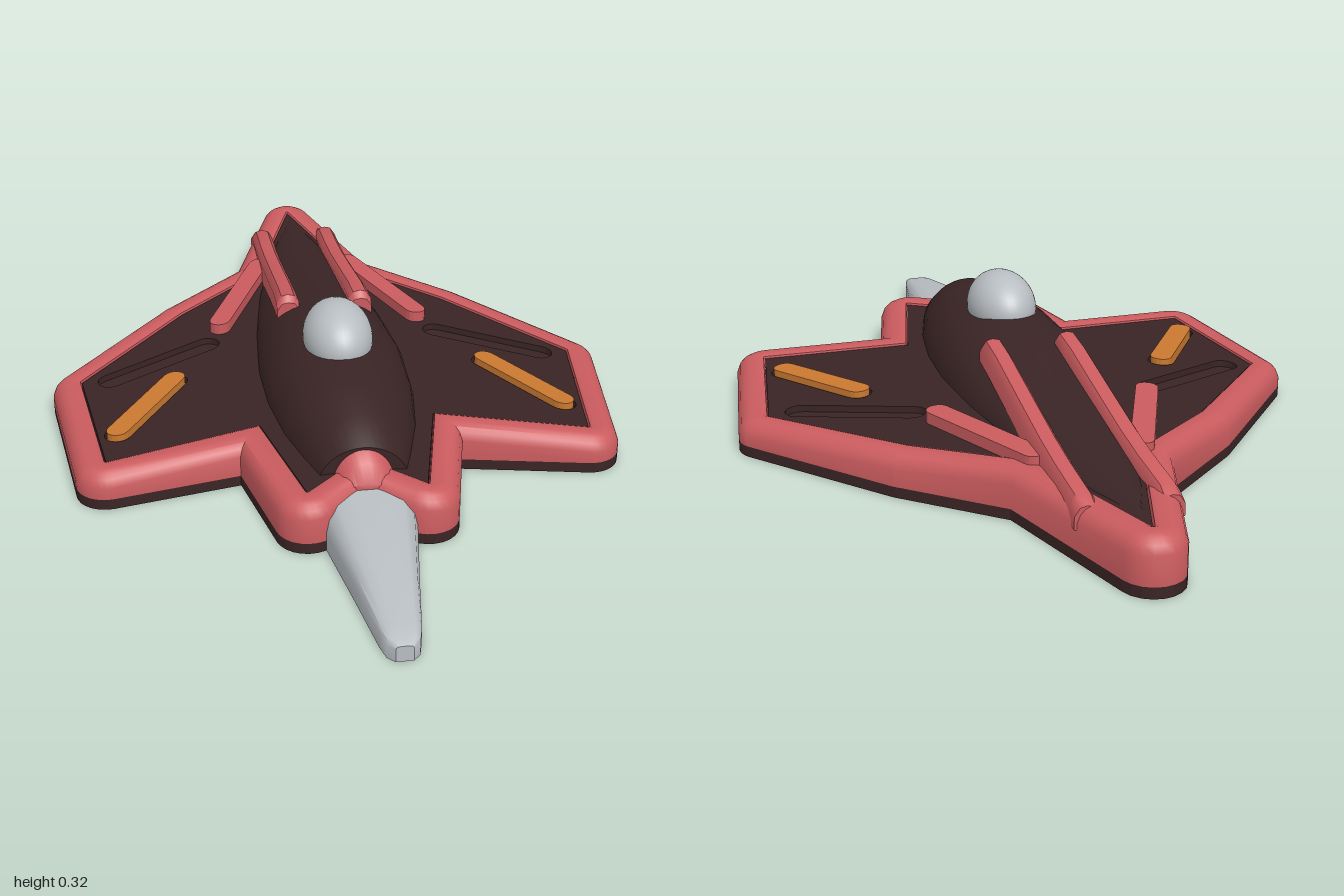
import * as THREE from 'three';
import { toCreasedNormals } from 'three/addons/utils/BufferGeometryUtils.js';

const mat = (name, color) => {
  const m = new THREE.MeshStandardMaterial({ color });
  m.name = name;
  return m;
};

// height of the upper wing surface, falling toward the tips
const wingTop = (x) => 0.125 - 0.07 * Math.abs(x);

// inner edge of the rim, left half, as [x, -z] from nose notch to tail
const HALF = [[0, -0.44], [0.13, -0.55], [0.2, -0.25], [0.55, -0.32],
  [0.6, 0.06], [0.34, 0.36], [0.12, 0.55], [0, 0.93]];
const EDGE = [...HALF, ...HALF.slice(1, -1).reverse().map(([x, v]) => [-x, v])];

// grow the edge by e: round outer corners, mitred inner ones
function grow(e) {
  const out = [], n = EDGE.length;
  const normal = (a, b) => new THREE.Vector2(b[1] - a[1], a[0] - b[0]).normalize();
  EDGE.forEach((p, i) => {
    const n1 = normal(EDGE[(i + n - 1) % n], p), n2 = normal(p, EDGE[(i + 1) % n]);
    const turn = Math.atan2(n1.cross(n2), n1.dot(n2));
    if (turn > 0) {
      for (let k = 0; k <= 8; k++) {
        const a = n1.angle() + turn * k / 8;
        out.push(new THREE.Vector2(p[0] + e * Math.cos(a), p[1] + e * Math.sin(a)));
      }
    } else {
      const s = e / (1 + n1.dot(n2));
      out.push(new THREE.Vector2(p[0] + s * (n1.x + n2.x), p[1] + s * (n1.y + n2.y)));
    }
  });
  return out;
}

// skin over matching rings of [x, y, z], counter-clockwise seen from the first ring's side
function loft(rings, caps = true, crease = 0.7) {
  const pos = [], n = rings[0].length;
  const tri = (...pts) => pts.forEach((p) => pos.push(...p));
  for (let r = 0; r < rings.length - 1; r++) {
    const a = rings[r], b = rings[r + 1];
    for (let i = 0; i < n; i++) {
      const j = (i + 1) % n;
      tri(b[i], b[j], a[i]);
      tri(b[j], a[j], a[i]);
    }
  }
  if (caps) {
    [rings[0], rings[rings.length - 1]].forEach((ring, end) => {
      const c = [0, 1, 2].map((k) => ring.reduce((s, p) => s + p[k], 0) / n);
      ring.forEach((p, i) => {
        const q = ring[(i + 1) % n];
        if (end) tri(c, q, p); else tri(c, p, q);
      });
    });
  }
  const g = new THREE.BufferGeometry();
  g.setAttribute('position', new THREE.Float32BufferAttribute(pos, 3));
  return toCreasedNormals(g, crease);
}

// arched cross-section standing on y0
function arch(z, w, top, y0 = 0.08) {
  return Array.from({ length: 21 }, (_, i) => {
    const a = Math.PI * i / 20;
    return [w * Math.cos(a), y0 + (top - y0) * Math.sin(a), z];
  });
}

// round-ended strip outline between two [x, z] points
function capsule([ax, az], [bx, bz], r) {
  const dir = Math.atan2(az - bz, bx - ax), pts = [];
  for (let k = 0; k <= 16; k++) {
    const onB = k <= 8;
    const a = dir - Math.PI / 2 + Math.PI * (onB ? k / 8 : 1 + (k - 9) / 7);
    pts.push(new THREE.Vector2((onB ? bx : ax) + r * Math.cos(a), -(onB ? bz : az) + r * Math.sin(a)));
  }
  return pts;
}

// flat slab draped on the wing, its underside at the given offset from the surface
function drape(points, depth, offset, holes = []) {
  const shape = new THREE.Shape(points);
  shape.holes = holes.map((h) => new THREE.Path(h));
  const g = new THREE.ExtrudeGeometry(shape, { depth, bevelEnabled: false }).rotateX(-Math.PI / 2);
  const p = g.attributes.position;
  for (let i = 0; i < p.count; i++) p.setY(i, p.getY(i) + offset + wingTop(p.getX(i)));
  g.computeVertexNormals();
  return g;
}

export function createModel() {
  const red = mat('coral red', 0xcb5c5f);
  const dark = mat('dark brown', 0x3a2425);
  const orange = mat('orange', 0xcb7930);
  const grey = mat('light grey', 0xb9bec2);
  const model = new THREE.Group();
  model.name = 'glider';
  const add = (parent, name, geometry, material) => {
    const m = new THREE.Mesh(geometry, material);
    m.name = name;
    parent.add(m);
    return m;
  };

  // base plate with a round socket underneath
  const SOCKET = { r: 0.115, z: -0.03, depth: 0.06 };
  const baseShape = new THREE.Shape(grow(0.07));
  baseShape.holes.push(new THREE.Path().absarc(0, -SOCKET.z, SOCKET.r, 0, Math.PI * 2, true));
  add(model, 'basePlate', new THREE.ExtrudeGeometry(baseShape,
    { depth: 0.025, bevelEnabled: false, curveSegments: 24 }).rotateX(-Math.PI / 2), dark);
  const socket = dark.clone();
  socket.side = THREE.DoubleSide;
  add(model, 'socketWall', new THREE.CylinderGeometry(SOCKET.r, SOCKET.r, SOCKET.depth, 48, 1, true)
    .translate(0, SOCKET.depth / 2, SOCKET.z), socket);
  add(model, 'socketRoof', new THREE.CircleGeometry(SOCKET.r, 48).rotateX(Math.PI / 2)
    .translate(0, SOCKET.depth, SOCKET.z), dark);

  // rounded rim: [growth, drop below the wing surface]
  const profile = [[0.001, 0.025], [0.004, 0.004], [0.014, 0], [0.04, 0],
    [0.053, 0.006], [0.063, 0.016], [0.07, 0.034], [0.07, null]];
  add(model, 'rim', loft(profile.map(([e, drop]) => grow(e).map((p) =>
    [p.x, drop === null ? 0.025 : wingTop(p.x) - drop, -p.y])), false, 0.8), red);

  // wing panels, slots, strips and rails, mirrored left and right
  const side = new THREE.Group();
  side.name = 'leftSide';
  const half = HALF.map(([x, v]) => new THREE.Vector2(x, v));
  const slotA = [[0.29, -0.18], [0.53, -0.055]];
  const slotB = [[0.38, -0.01], [0.52, 0.205]];
  add(side, 'wingPanel', drape(half, 0.016, -0.024,
    [capsule(...slotA, 0.032), capsule(...slotB, 0.032)]), dark);
  add(side, 'slotFloor', drape(half, 0.004, -0.029), dark);
  add(side, 'wingLight', drape(capsule(...slotB, 0.026), 0.03, -0.025), orange);
  add(side, 'strake', drape(capsule([0.25, -0.25], [0.12, -0.56], 0.026), 0.035, -0.016), red);
  const railRings = [[-0.125, 0.225], [-0.14, 0.24], [-0.22, 0.23], [-0.4, 0.193],
    [-0.55, 0.163], [-0.65, 0.148], [-0.78, 0.135], [-0.81, 0.12]];
  add(side, 'rail', loft(railRings.map(([z, t]) => [[0.117, 0.07, z], [0.117, t - 0.022, z],
    [0.105, t - 0.004, z], [0.09, t, z], [0.073, t - 0.004, z], [0.062, t - 0.02, z], [0.062, 0.07, z]])), red);
  const mirrored = side.clone();
  mirrored.name = 'rightSide';
  mirrored.scale.x = -1;
  model.add(side, mirrored);

  // fuselage tapering to the tail: z, half width, top
  const hull = [[0.49, 0.1, 0.172], [0.42, 0.12, 0.21], [0.3, 0.152, 0.23], [0.15, 0.173, 0.243],
    [0, 0.178, 0.243], [-0.1, 0.172, 0.228], [-0.2, 0.165, 0.21], [-0.4, 0.14, 0.175],
    [-0.6, 0.1, 0.145], [-0.75, 0.065, 0.128], [-0.9, 0.01, 0.115]];
  add(model, 'fuselage', loft(hull.map((s) => arch(...s))), dark);
  add(model, 'noseCollar', loft([[0.545, 0.05, 0.115], [0.52, 0.062, 0.15], [0.48, 0.07, 0.172]]
    .map((s) => arch(...s))), red);

  // cockpit canopy
  add(model, 'canopy', new THREE.SphereGeometry(1, 40, 24).scale(0.081, 0.085, 0.116)
    .translate(0, 0.24, 0.095), grey);

  // long beak: z, half width, shoulder height, top
  const beak = [[1, 0.018, 0.03, 0.036], [0.985, 0.033, 0.034, 0.043], [0.95, 0.042, 0.036, 0.05],
    [0.8, 0.066, 0.039, 0.073], [0.6, 0.1, 0.043, 0.098], [0.48, 0.106, 0.045, 0.103]];
  add(model, 'beak', loft(beak.map(([z, w, s, t]) => [[w, 0, z], [w, s, z], [w * 0.92, s + (t - s) * 0.55, z],
    [w * 0.7, s + (t - s) * 0.92, z], [w * 0.35, t, z], [-w * 0.35, t, z], [-w * 0.7, s + (t - s) * 0.92, z],
    [-w * 0.92, s + (t - s) * 0.55, z], [-w, s, z], [-w, 0, z]])), grey);
  return model;
}
